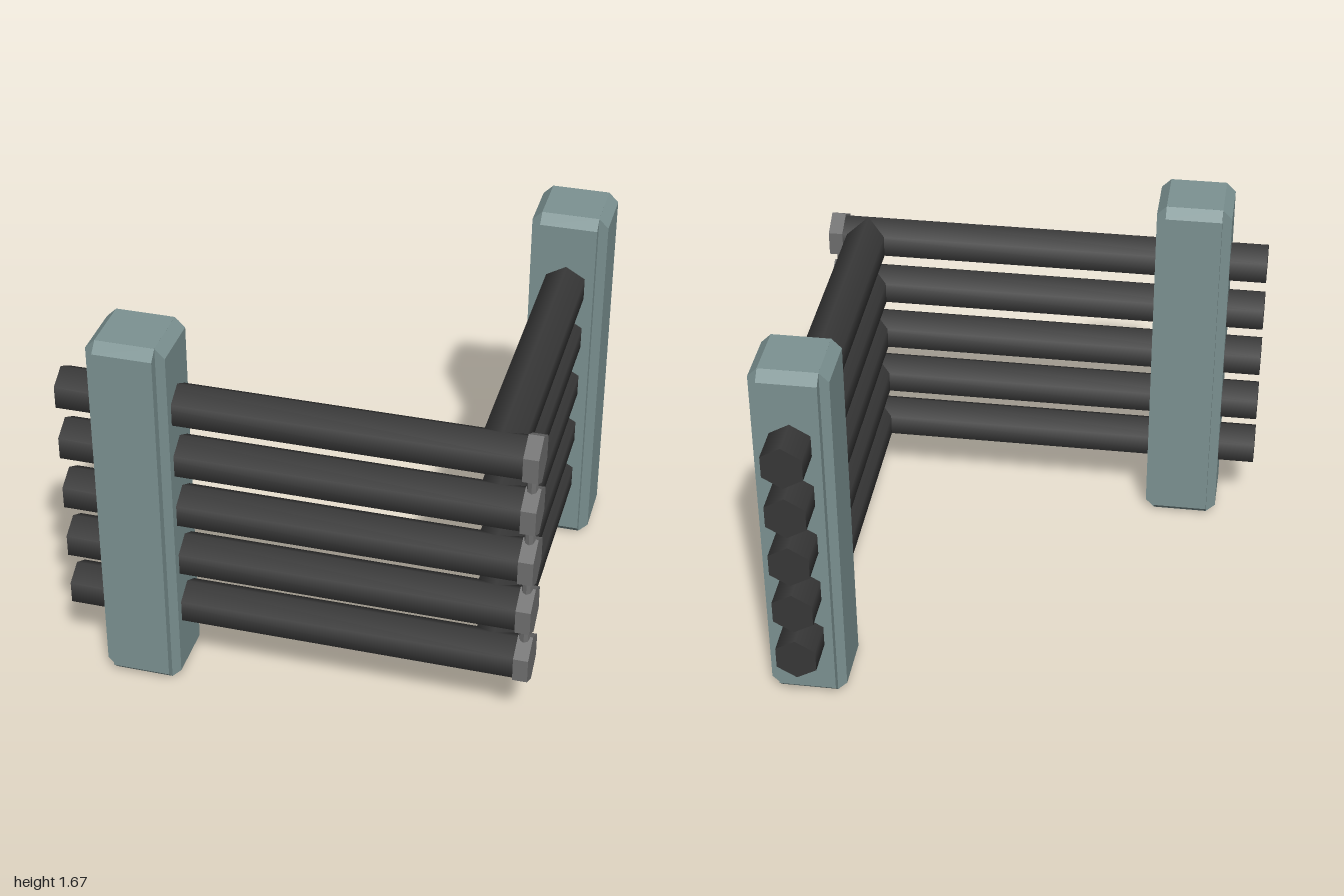
import * as THREE from 'three';

const postMaterial = new THREE.MeshStandardMaterial({ color: 0x7c9292, flatShading: true });
const railMaterial = new THREE.MeshStandardMaterial({ color: 0x383838 });
const metalMaterial = new THREE.MeshStandardMaterial({ color: 0x6e6e6e, flatShading: true });

function addMesh(parent, name, geometry, material) {
  const mesh = new THREE.Mesh(geometry, material);
  mesh.name = name;
  parent.add(mesh);
  return mesh;
}

// Hexagonal bar along x from x0 to x1, with a corner pointing up
function hexBar(radius, x0, x1) {
  return new THREE.CylinderGeometry(radius, radius, x1 - x0, 6, 1, false, Math.PI / 2)
    .rotateZ(Math.PI / 2)
    .translate((x0 + x1) / 2, 0, 0);
}

// Square post: two crossed chamfered slabs leave a notch down each corner
function makePost(name) {
  const post = new THREE.Group();
  post.name = name;
  const w = 0.1667, h = 1.667, c = 0.042, depth = 0.25;
  const outline = new THREE.Shape([
    [-w + c, 0], [w - c, 0], [w, c], [w, h - c],
    [w - c, h], [-w + c, h], [-w, h - c], [-w, c],
  ].map(([x, y]) => new THREE.Vector2(x, y)));
  const slab = new THREE.ExtrudeGeometry(outline, { depth, bevelEnabled: false })
    .translate(0, 0, -depth / 2);
  addMesh(post, 'postSlabAcross', slab, postMaterial);
  addMesh(post, 'postSlabAlong', slab, postMaterial).rotation.y = Math.PI / 2;
  return post;
}

export function createModel() {
  const model = new THREE.Group();
  model.name = 'cornerFence';
  const line = 0.832;

  // Posts, one on each arm of the corner
  const frontPost = makePost('frontPost');
  frontPost.position.set(-0.667, 0, 0.833);
  const backPost = makePost('backPost');
  backPost.position.set(0.833, 0, -0.667);
  model.add(frontPost, backPost);

  // Rails of both arms, with an end cap on each front rail
  const frontRail = hexBar(0.099, -1, 0.94);
  const sideRail = hexBar(0.099, -line, 1).rotateY(Math.PI / 2);
  const cap = hexBar(0.109, 0.937, 1);
  for (let i = 0; i < 5; i++) {
    const y = 0.335 + i * 0.25;
    addMesh(model, 'frontRail', frontRail, railMaterial).position.set(0, y, line);
    addMesh(model, 'sideRail', sideRail, railMaterial).position.set(line, y, 0);
    addMesh(model, 'railCap', cap, metalMaterial).position.set(0, y, line);
  }

  // Thin rod joining the caps at the corner
  const rod = new THREE.CylinderGeometry(0.023, 0.023, 1, 8);
  addMesh(model, 'cornerRod', rod, metalMaterial).position.set(0.965, 0.835, line + 0.003);

  return model;
}
